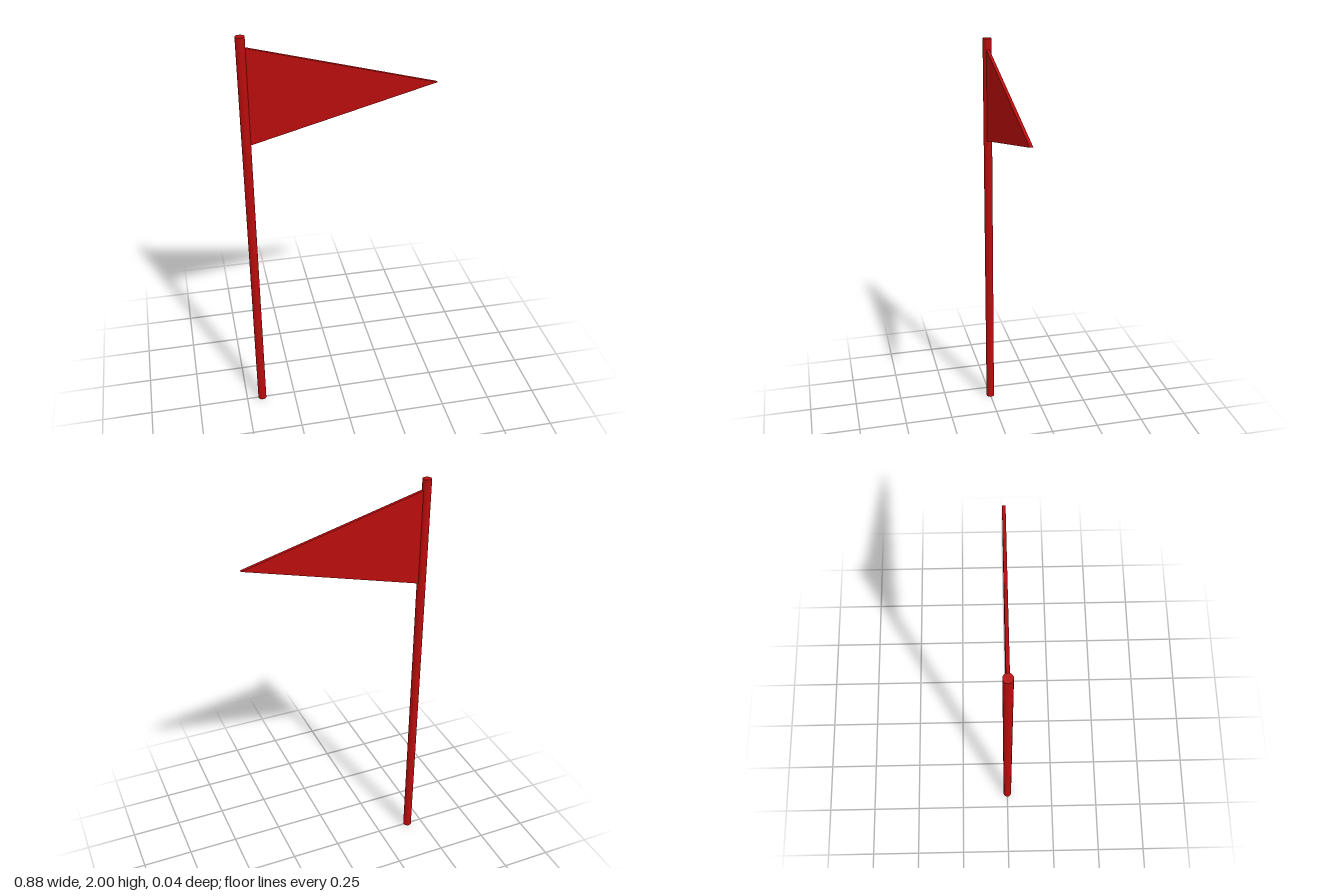
import * as THREE from 'three';

export function createModel() {
  const model = new THREE.Group();
  model.name = 'pennantFlag';
  const red = new THREE.MeshStandardMaterial({ color: 0xb80c0c });

  const poleX = -0.421, poleRadius = 0.021, poleHeight = 2;
  const tipX = 0.442, thickness = 0.015;

  // Round pole standing on the ground
  const pole = new THREE.Mesh(new THREE.CylinderGeometry(poleRadius, poleRadius, poleHeight, 32), red);
  pole.name = 'pole';
  pole.position.set(poleX, poleHeight / 2, 0);
  model.add(pole);

  // Triangular pennant, its straight edge set slightly into the pole
  const hoistX = poleX + poleRadius - 0.003;
  const outline = new THREE.Shape();
  outline.moveTo(hoistX, 1.5);
  outline.lineTo(tipX, 1.725);
  outline.lineTo(hoistX, 1.95);
  outline.closePath();
  const cloth = new THREE.ExtrudeGeometry(outline, { depth: thickness, bevelEnabled: false });
  cloth.translate(0, 0, -thickness / 2);
  const pennant = new THREE.Mesh(cloth, red);
  pennant.name = 'pennant';
  model.add(pennant);

  return model;
}
